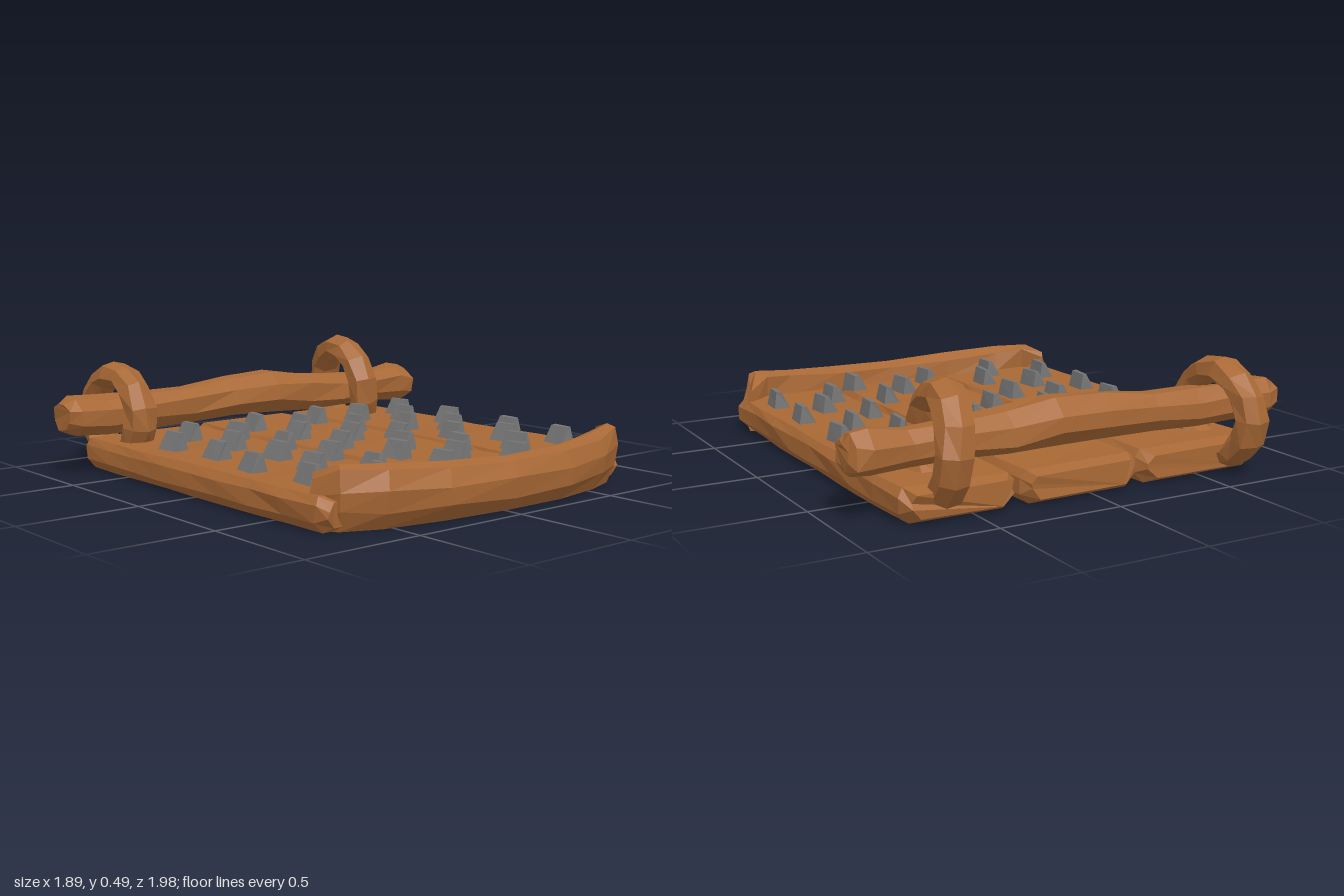
import * as THREE from 'three';

const wood = new THREE.MeshStandardMaterial({ color: 0xa86835 });
wood.name = 'wood';
const stone = new THREE.MeshStandardMaterial({ color: 0x747474 });
stone.name = 'stone';

// Repeatable noise in -1..1 from a position
function noise(x, y, z, k) {
  const s = Math.sin(Math.round(x * 500) * 12.99 + Math.round(y * 500) * 78.23 + Math.round(z * 500) * 37.72 + k * 4.1) * 43758.54;
  return (s - Math.floor(s)) * 2 - 1;
}

// Hewn look: nudge each corner, keep the underside flat, then facet
function hew(geo, ax, ay, az) {
  const p = geo.attributes.position;
  for (let i = 0; i < p.count; i++) {
    const x = p.getX(i), y = p.getY(i), z = p.getZ(i);
    const ny = y < 0.002 ? 0 : Math.max(0, y + ay * noise(x, y, z, 2));
    p.setXYZ(i, x + ax * noise(x, y, z, 1), ny, z + az * noise(x, y, z, 3));
  }
  const flat = geo.index ? geo.toNonIndexed() : geo;
  flat.computeVertexNormals();
  return flat;
}

// Solid through a row of equal-length cross-sections, capped at both ends
function loft(sections) {
  const n = sections[0].length, m = sections.length;
  const pts = sections.flat();
  const idx = [];
  for (let s = 0; s < m - 1; s++) {
    for (let i = 0; i < n; i++) {
      const a = s * n + i, b = s * n + (i + 1) % n;
      idx.push(a, b, b + n, a, b + n, a + n);
    }
  }
  for (let i = 1; i < n - 1; i++) {
    const e = (m - 1) * n;
    idx.push(0, i + 1, i, e, e + i, e + i + 1);
  }
  // Turn faces outward
  let vol = 0;
  const c = new THREE.Vector3();
  for (let i = 0; i < idx.length; i += 3) {
    vol += c.crossVectors(pts[idx[i]], pts[idx[i + 1]]).dot(pts[idx[i + 2]]);
  }
  if (vol < 0) idx.reverse();
  const g = new THREE.BufferGeometry();
  g.setAttribute('position', new THREE.Float32BufferAttribute(pts.flatMap(v => [v.x, v.y, v.z]), 3));
  g.setIndex(idx);
  return g;
}

function add(group, name, geo, mat) {
  const mesh = new THREE.Mesh(geo, mat);
  mesh.name = name;
  group.add(mesh);
  return mesh;
}

// Bevelled board lying along z
function plank(x0, x1, back, front) {
  const section = (z, inset, low, high) => [
    [x0 + inset + 0.035, low], [x1 - inset - 0.035, low],
    [x1 - inset, low + 0.04], [x1 - inset, high - 0.03],
    [x1 - inset - 0.02, high], [x0 + inset + 0.02, high],
    [x0 + inset, high - 0.03], [x0 + inset, low + 0.04],
  ].map(([x, y]) => new THREE.Vector3(x, y, z));
  const rows = [section(back, 0.035, 0.025, 0.115), section(back + 0.05, 0.006, 0, 0.13)];
  for (let i = 1; i < 8; i++) rows.push(section(back + 0.05 + (front - back - 0.09) * i / 8, 0, 0, 0.13));
  rows.push(section(front - 0.04, 0.006, 0, 0.13), section(front, 0.03, 0.02, 0.115));
  return hew(loft(rows), 0.007, 0.003, 0.01);
}

// Curved lip: outer edge x, z, then thickness and height
function frontLip() {
  const stations = [
    [-0.755, 0.71, 0.045, 0.2], [-0.71, 0.82, 0.09, 0.238], [-0.56, 0.905, 0.125, 0.235],
    [-0.3, 0.96, 0.14, 0.215], [0, 0.985, 0.145, 0.205], [0.3, 0.975, 0.145, 0.205],
    [0.56, 0.93, 0.135, 0.22], [0.72, 0.85, 0.1, 0.242], [0.785, 0.715, 0.045, 0.2],
  ];
  const profile = [[0.45, 0], [0.06, 0.3], [0, 0.62], [0.2, 0.92], [0.55, 1], [0.92, 0.9], [1, 0.5], [1, 0]];
  const rows = stations.map(([x, z, w, h], i) => {
    const a = stations[Math.max(i - 1, 0)], b = stations[Math.min(i + 1, stations.length - 1)];
    const t = new THREE.Vector2(b[0] - a[0], b[1] - a[1]).normalize();
    return profile.map(([d, y]) => new THREE.Vector3(x + t.y * d * w, y * h, z - t.x * d * w));
  });
  return hew(loft(rows), 0.012, 0.008, 0.008);
}

// Rough pole: x, centre height, radius
function pole() {
  const stations = [
    [-0.945, 0.25, 0.06], [-0.89, 0.245, 0.09], [-0.74, 0.24, 0.08], [-0.55, 0.24, 0.08],
    [-0.35, 0.25, 0.082], [-0.12, 0.262, 0.09], [0.1, 0.265, 0.094], [0.3, 0.25, 0.09],
    [0.5, 0.24, 0.08], [0.7, 0.24, 0.075], [0.86, 0.245, 0.09], [0.92, 0.24, 0.085], [0.94, 0.24, 0.055],
  ];
  const rows = stations.map(([x, y, r]) => Array.from({ length: 8 }, (_, i) => {
    const a = (i + 0.5) * Math.PI / 4;
    return new THREE.Vector3(x, y + r * Math.sin(a), -0.68 + r * 1.06 * Math.cos(a));
  }));
  return hew(loft(rows), 0.008, 0.01, 0.008);
}

// Tying hoop around the pole and the boards
function hoop(x, y, z, ry, rz, turn, lean) {
  const g = new THREE.TorusGeometry(0.19, 0.06, 7, 13);
  g.scale(rz / 0.25, ry / 0.25, 1.2);
  g.rotateY(Math.PI / 2 + turn);
  g.rotateZ(lean);
  g.translate(x, y, z);
  return hew(g, 0.007, 0.007, 0.006);
}

// Leaning wedge: gentle slope on one side, steep on the other
function stud(i) {
  const rows = [-1, 1].map(s => [
    [-0.04, 0.115, 0.055], [0.04, 0.115, 0.055], [0.024, 0.2, 0.046], [0.004, 0.2, 0.046],
  ].map(([x, y, z]) => new THREE.Vector3(x, y, s * z)));
  const g = loft(rows);
  g.rotateY(noise(i, 3, 7, 5) * 0.12);
  return hew(g, 0.002, 0.002, 0.002);
}

export function createModel() {
  const model = new THREE.Group();
  model.name = 'spikedBoard';

  add(model, 'rightPlank', plank(-0.78, -0.21, -0.835, 0.81), wood);
  add(model, 'middlePlank', plank(-0.2, 0.315, -0.85, 0.82), wood);
  add(model, 'leftPlank', plank(0.33, 0.793, -0.85, 0.81), wood);
  add(model, 'frontLip', frontLip(), wood);
  add(model, 'pole', pole(), wood);
  add(model, 'rightHoop', hoop(-0.64, 0.225, -0.75, 0.225, 0.25, 0, 0), wood);
  add(model, 'leftHoop', hoop(0.59, 0.245, -0.72, 0.245, 0.24, -0.15, 0.1), wood);

  // Stud places, x and z, one list per plank
  const places = [
    [-0.46, -0.48, -0.29, -0.375, -0.64, -0.32, -0.45, -0.18, -0.62, -0.04, -0.29, -0.05, -0.44, 0.11,
      -0.66, 0.245, -0.29, 0.25, -0.49, 0.395, -0.635, 0.555, -0.32, 0.54, -0.43, 0.7],
    [-0.1, -0.51, 0.23, -0.49, 0.05, -0.38, -0.09, -0.21, 0.22, -0.21, 0.07, -0.05, -0.1, 0.085,
      0.22, 0.08, 0.08, 0.26, -0.07, 0.395, 0.23, 0.43, 0.085, 0.565, -0.085, 0.67, 0.255, 0.72],
    [0.425, -0.425, 0.69, -0.44, 0.575, -0.28, 0.43, -0.105, 0.69, -0.105, 0.56, 0.05,
      0.41, 0.21, 0.69, 0.265, 0.545, 0.39, 0.43, 0.56, 0.68, 0.57],
  ];
  const studs = new THREE.Group();
  studs.name = 'studs';
  for (const list of places) {
    for (let i = 0; i < list.length; i += 2) {
      add(studs, 'stud', stud(studs.children.length), stone).position.set(list[i], 0, list[i + 1]);
    }
  }
  model.add(studs);
  return model;
}
